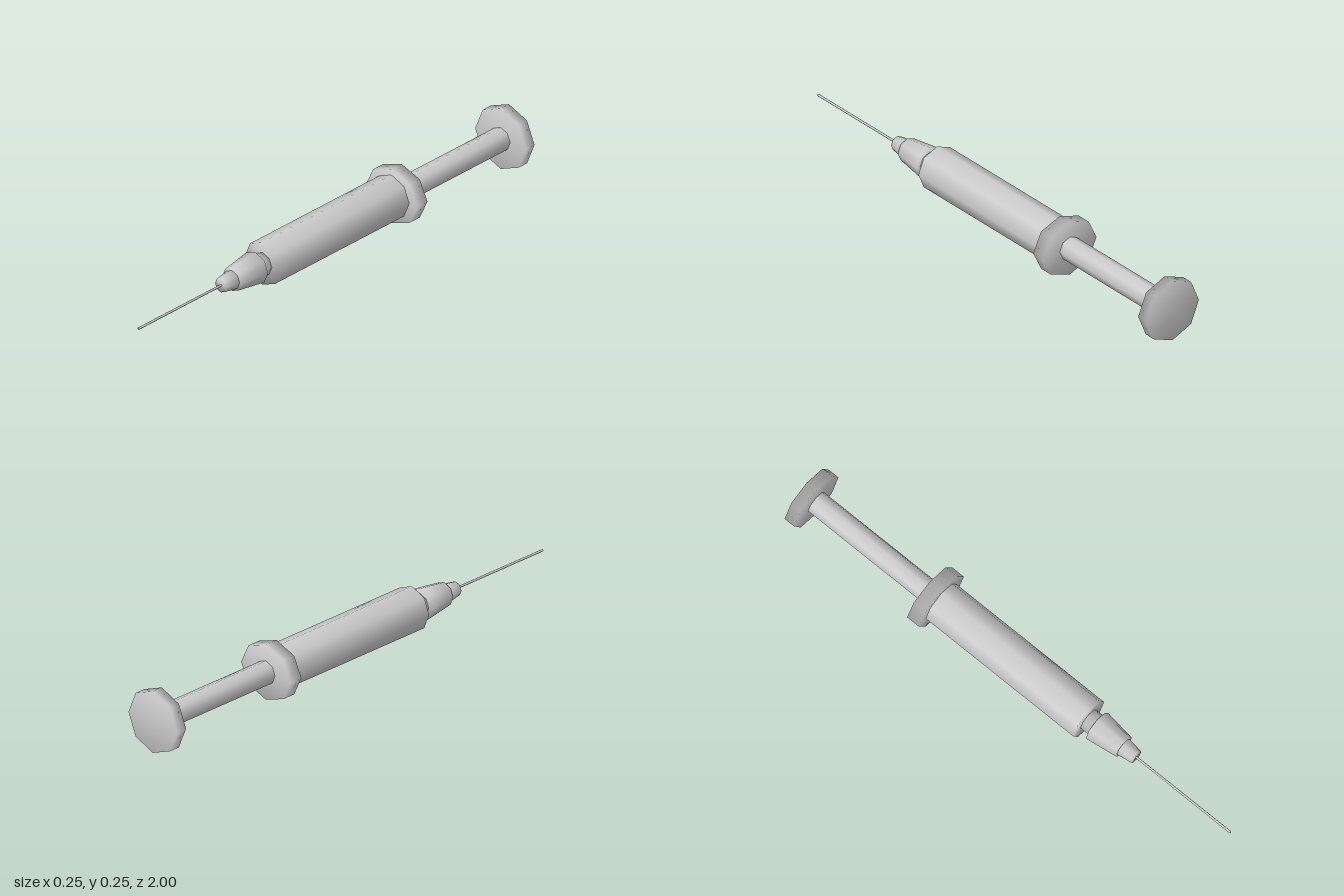
import * as THREE from 'three';

const AXIS_Y = 0.123;
const material = new THREE.MeshStandardMaterial({ color: 0xcccccc });

// Closed octagonal solid along z: radius r0 at z0 tapering to r1 at z1, smooth shaded
function section(name, z0, z1, r0, r1 = r0, scaleX = 1, scaleY = 1) {
  const profile = [[0, z0], [r0, z0], [r1, z1], [0, z1]].map(([r, z]) => new THREE.Vector2(r, z));
  const geometry = new THREE.LatheGeometry(profile, 8);
  geometry.rotateX(Math.PI / 2);
  geometry.scale(scaleX, scaleY, 1);
  const mesh = new THREE.Mesh(geometry, material);
  mesh.name = name;
  mesh.position.y = AXIS_Y;
  return mesh;
}

export function createModel() {
  const group = new THREE.Group();
  group.name = 'syringe';
  group.add(
    // Plunger
    section('thumbRest', -1, -0.955, 0.123),
    section('plungerRod', -0.955, -0.42, 0.046),
    // Barrel with its slightly flattened finger flange
    section('fingerFlange', -0.42, -0.365, 0.125, 0.125, 1, 0.875),
    section('barrel', -0.365, 0.33, 0.086),
    section('barrelNeck', 0.33, 0.37, 0.045),
    // Needle and its stepped hub
    section('needleHub', 0.37, 0.495, 0.063, 0.046),
    section('hubTip', 0.495, 0.555, 0.037, 0.028),
    section('needle', 0.555, 1, 0.0045),
  );
  return group;
}
